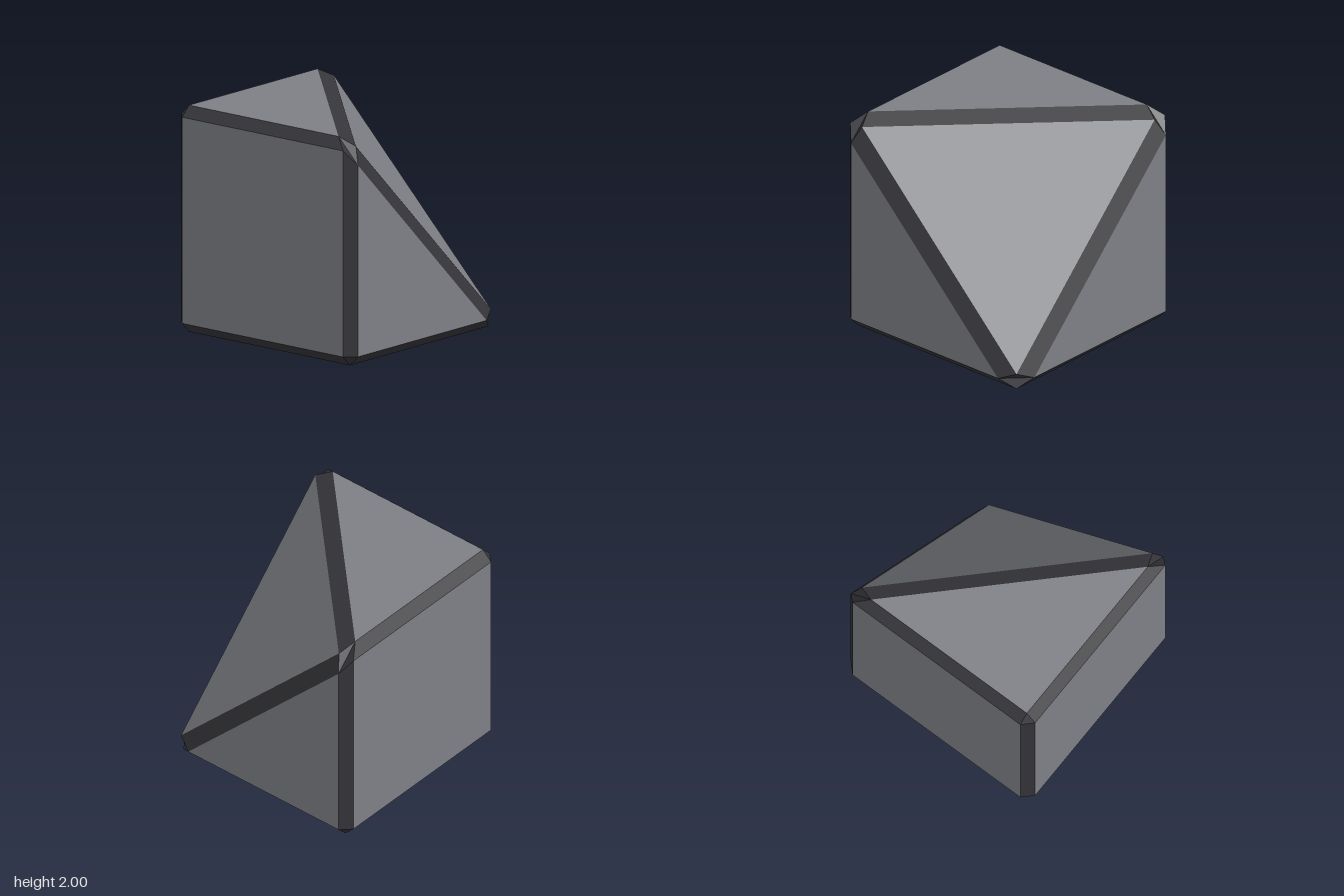
import * as THREE from 'three';

// Chamfered cube with one corner sliced off along the face diagonals.
const INSET = 0.91, ACUTE = 0.78, CUT_NEAR = 0.925, CUT_FAR = 0.85;

const panelGrey = new THREE.MeshStandardMaterial({ color: 0x7e8086 });
panelGrey.name = 'panelGrey';
const edgeGrey = new THREE.MeshStandardMaterial({ color: 0x36363b });
edgeGrey.name = 'edgeGrey';

// Builds a flat-shaded mesh from convex polygons, each wound to face outward.
function polygonMesh(name, polygons, material) {
  const positions = [];
  for (const polygon of polygons) {
    const p = polygon.map((c) => new THREE.Vector3(...c));
    const normal = p[1].clone().sub(p[0]).cross(p[2].clone().sub(p[0]));
    if (normal.dot(p[0]) < 0) p.reverse();
    for (let i = 1; i < p.length - 1; i++) {
      for (const v of [p[0], p[i], p[i + 1]]) positions.push(v.x, v.y + 1, v.z);
    }
  }
  const geometry = new THREE.BufferGeometry();
  geometry.setAttribute('position', new THREE.Float32BufferAttribute(positions, 3));
  geometry.computeVertexNormals();
  const mesh = new THREE.Mesh(geometry, material);
  mesh.name = name;
  return mesh;
}

// One cube side: a square, or a triangle where the sliced corner is missing.
function cubeFace(name, axis, sign) {
  const corners = [[-1, -1], [1, -1], [1, 1], [-1, 1]].map(([a, b]) => {
    const v = [0, 0, 0];
    v[axis] = sign;
    v[(axis + 1) % 3] = a;
    v[(axis + 2) % 3] = b;
    return v;
  }).filter((v) => v[0] + v[1] + v[2] < 3);
  const inset = (v) => v.map((c, i) => {
    if (i === axis) return sign;
    return sign > 0 && c > 0 ? ACUTE : c * INSET;
  });
  return { name, sign, corners, inset };
}

export function createModel() {
  const group = new THREE.Group();
  group.name = 'slicedCube';

  const faces = [
    cubeFace('leftPanel', 0, 1), cubeFace('rightPanel', 0, -1),
    cubeFace('topPanel', 1, 1), cubeFace('bottomPanel', 1, -1),
    cubeFace('frontPanel', 2, 1), cubeFace('backPanel', 2, -1),
    {
      name: 'slicedPanel', sign: 0,
      corners: [[-1, 1, 1], [1, 1, -1], [1, -1, 1]],
      inset: (v) => v.map((c) => (c > 0 ? CUT_NEAR : -CUT_FAR)),
    },
  ];
  const has = (face, v) => face.corners.some((c) => c.join() === v.join());

  // Flat panels
  for (const f of faces) group.add(polygonMesh(f.name, [f.corners.map(f.inset)], panelGrey));

  // Chamfer strips between neighbouring panels
  const strips = [];
  faces.forEach((f, i) => faces.slice(i + 1).forEach((g) => {
    const [a, b] = f.corners.filter((v) => has(g, v));
    if (b) strips.push([f.inset(a), f.inset(b), g.inset(b), g.inset(a)]);
  }));
  group.add(polygonMesh('edgeChamfers', strips, edgeGrey));

  // Corner caps: a triangle, or two triangles where the slice meets the cube
  const caps = [];
  for (const x of [-1, 1]) for (const y of [-1, 1]) for (const z of [-1, 1]) {
    const v = [x, y, z];
    const around = faces.filter((f) => has(f, v));
    if (around.length === 3) caps.push(around.map((f) => f.inset(v)));
    if (around.length === 4) {
      const pair = around.filter((f) => f.sign > 0).map((f) => f.inset(v));
      for (const f of around) if (f.sign <= 0) caps.push([...pair, f.inset(v)]);
    }
  }
  group.add(polygonMesh('cornerCaps', caps, edgeGrey));

  return group;
}
